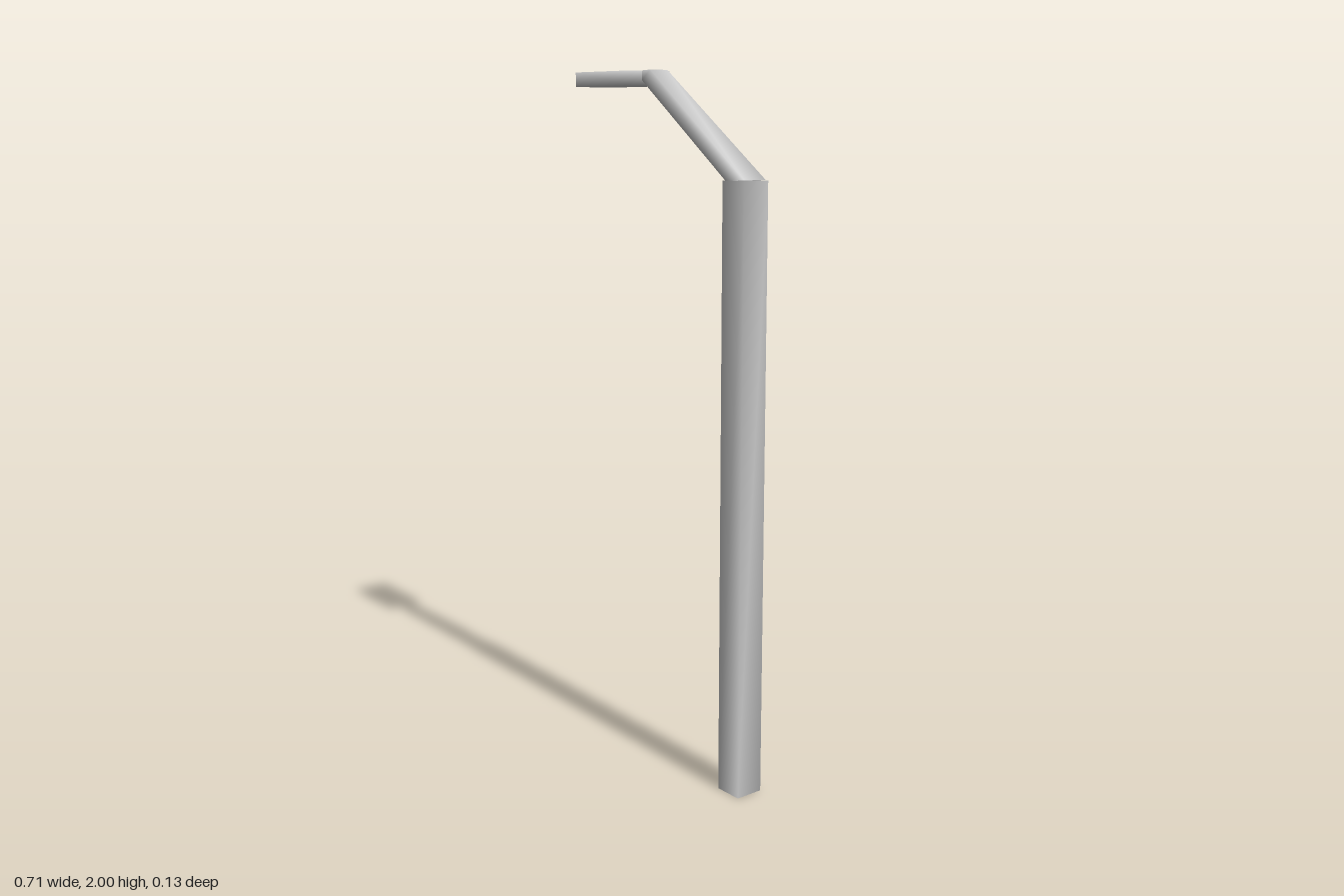
import * as THREE from 'three';

// Lofts four-sided sections [xA, yA, xB, yB, halfDepth] into a closed solid.
// Corners are shared, so the shading runs softly round the edges.
function loft(name, sections) {
  const positions = [];
  const index = [];
  for (const [xa, ya, xb, yb, d] of sections) {
    positions.push(xa, ya, d, xb, yb, d, xb, yb, -d, xa, ya, -d);
  }
  for (let s = 0; s < sections.length - 1; s++) {
    for (let i = 0; i < 4; i++) {
      const a = s * 4 + i;
      const b = s * 4 + (i + 1) % 4;
      index.push(a, b, b + 4, a, b + 4, a + 4);
    }
  }
  const e = (sections.length - 1) * 4;
  index.push(0, 2, 1, 0, 3, 2, e, e + 1, e + 2, e, e + 2, e + 3);

  const geometry = new THREE.BufferGeometry();
  geometry.setAttribute('position', new THREE.Float32BufferAttribute(positions, 3));
  geometry.setIndex(index);
  geometry.computeVertexNormals();
  const mesh = new THREE.Mesh(geometry, new THREE.MeshStandardMaterial({ color: 0xcccccc }));
  mesh.name = name;
  return mesh;
}

export function createModel() {
  const group = new THREE.Group();
  group.name = 'streetLamp';

  // Square upright post
  group.add(loft('post', [
    [0.27, 0, 0.355, 0, 0.042],
    [0.27, 1.71, 0.355, 1.71, 0.042],
  ]));

  // Tapering sloped arm, bending level where it enters the lamp head
  group.add(loft('arm', [
    [0.277, 1.708, 0.35, 1.712, 0.037],
    [-0.09, 1.972, -0.052, 2, 0.03],
    [-0.125, 1.972, -0.125, 1.997, 0.03],
  ]));

  // Flat rectangular lamp head
  group.add(loft('lampHead', [
    [-0.09, 1.957, -0.09, 1.998, 0.067],
    [-0.355, 1.957, -0.355, 1.998, 0.067],
  ]));

  return group;
}
